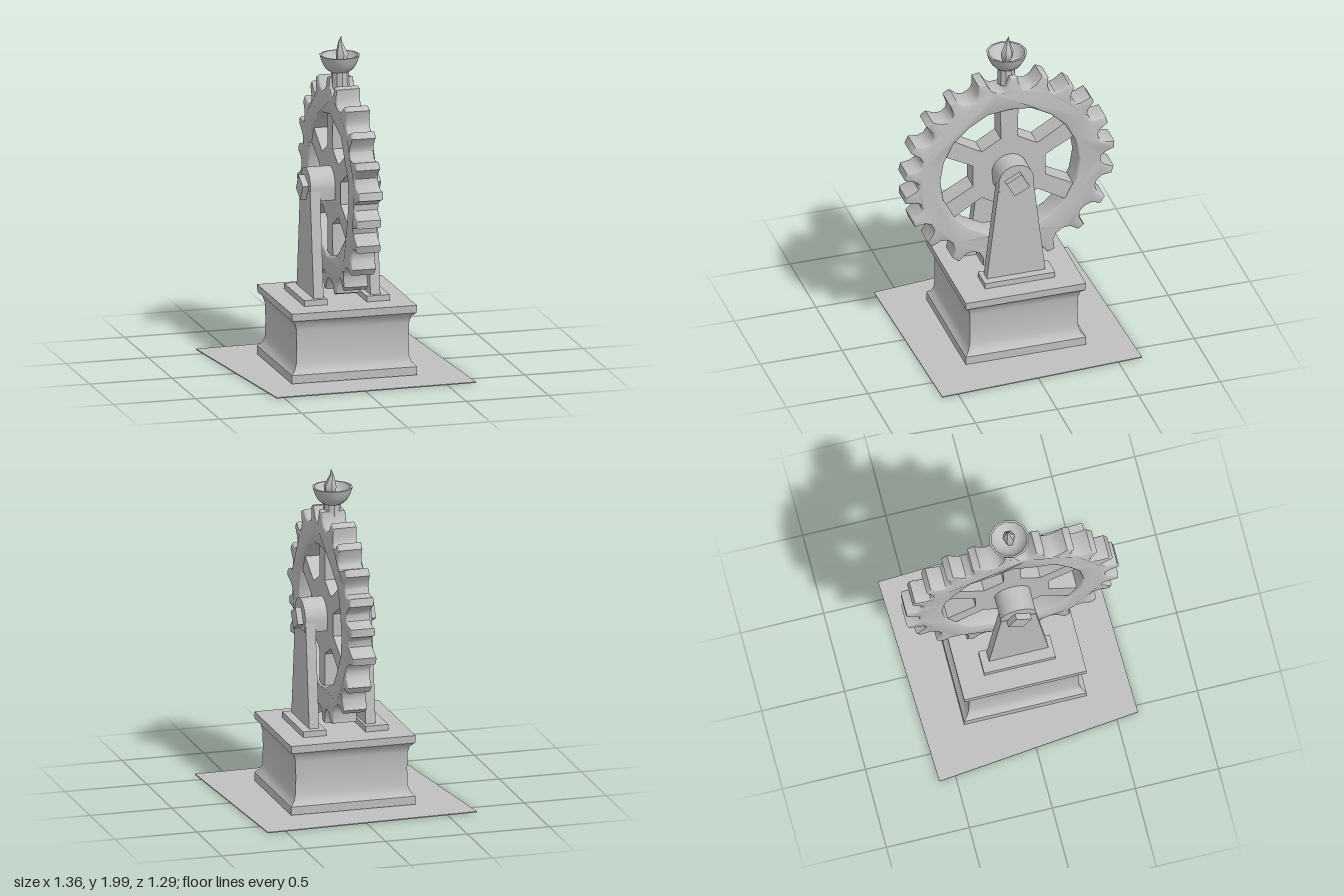
import * as THREE from 'three';
import { toCreasedNormals } from 'three/addons/utils/BufferGeometryUtils.js';

const stone = new THREE.MeshStandardMaterial({ color: 0xc0c0c0, side: THREE.DoubleSide });
stone.name = 'grey stone';
const V = (x, y) => new THREE.Vector2(x, y);
const CX = 0.022, CY = 1.11; // wheel centre

export function createModel() {
  const model = new THREE.Group();
  model.name = 'wheelMonument';

  const add = (name, geometry, x = 0, y = 0, z = 0, crease = 0.6) => {
    const mesh = new THREE.Mesh(toCreasedNormals(geometry, crease), stone);
    mesh.name = name;
    mesh.position.set(x, y, z);
    model.add(mesh);
    return mesh;
  };
  // Extrude a (z, y) outline along x, centred on x = 0
  const slab = (shape, width, bevel = 0) => {
    const g = new THREE.ExtrudeGeometry(shape, {
      depth: width - 2 * bevel, bevelEnabled: bevel > 0, bevelThickness: bevel,
      bevelSize: bevel, bevelOffset: -bevel, bevelSegments: 2, curveSegments: 10,
    });
    g.translate(0, 0, bevel - width / 2);
    return g.rotateY(-Math.PI / 2);
  };
  const polar = (r, deg) => V(r * Math.cos(deg * Math.PI / 180), r * Math.sin(deg * Math.PI / 180));

  // Thin, slightly skewed ground plate
  const ground = new THREE.Shape([V(-0.68, 0.6), V(-0.545, -0.63), V(0.675, -0.6), V(0.61, 0.645)]);
  add('groundPlate', new THREE.ExtrudeGeometry(ground, { depth: 0.006, bevelEnabled: false })
    .rotateX(-Math.PI / 2), 0, 0.01, 0);

  // Square pedestal with a concave waist
  const profile = [
    [0, 0.02], [0.38, 0.02], [0.38, 0.07], [0.355, 0.095], [0.343, 0.13], [0.34, 0.23],
    [0.342, 0.33], [0.352, 0.37], [0.378, 0.395], [0.38, 0.44], [0, 0.44],
  ].map(([r, y]) => V(r * Math.SQRT2, y));
  const pedestal = new THREE.LatheGeometry(profile, 4).rotateY(Math.PI / 4).scale(1, 1, 0.97);
  add('pedestal', pedestal, 0.005, 0, -0.005);

  // Tapered supports on foot plates, with square axle ends
  for (const [side, x, out] of [['right', -0.16, -0.205], ['left', 0.185, 0.232]]) {
    add(side + 'FootPlate', new THREE.BoxGeometry(0.14, 0.035, 0.43), x + (x > 0 ? 0.01 : -0.025), 0.4575, -0.008);
    const leg = new THREE.Shape([V(0.18, 0.475), V(0.105, 1.1), V(-0.105, 1.1), V(-0.178, 0.475)].reverse());
    add(side + 'Support', slab(leg, 0.06), x, 0, 0);
    const end = add(side + 'AxleEnd', new THREE.BoxGeometry(0.04, 0.105, 0.105), out, 1.105, 0);
    end.rotation.x = 0.5;
  }

  // Axle housing with a rounded top and flat underside
  const housing = new THREE.Shape();
  housing.moveTo(-0.1, 1.04);
  housing.lineTo(0.1, 1.04);
  housing.lineTo(0.107, 1.115);
  housing.absarc(0, 1.115, 0.107, 0, Math.PI, false);
  housing.closePath();
  add('axleHousing', slab(housing, 0.405), 0.015, 0, 0);

  // Toothed rim with hand-cut, unevenly spaced teeth
  const teeth = [7, 23, 40, 57, 75, 92, 110, 126, 142, 158, 174, 190, 208, 227, 247, 265, 283, 301, 320, 337, 352];
  const outline = [];
  teeth.forEach((a, i) => {
    const next = i + 1 < teeth.length ? teeth[i + 1] : teeth[0] + 360;
    const gap = next - a;
    outline.push(polar(0.585, a - 4), polar(0.645, a - 2.2), polar(0.64, a + 2), polar(0.585, a + 3.8),
      polar(0.56, a + gap * 0.38), polar(0.56, a + gap * 0.62));
  });
  const rim = new THREE.Shape(outline);
  rim.holes.push(new THREE.Path().absarc(0, 0, 0.425, 0, Math.PI * 2, true));
  const rimGeometry = slab(rim, 0.15, 0.012);
  // Gentle sideways ripple along the teeth
  const p = rimGeometry.attributes.position;
  for (let i = 0; i < p.count; i++) {
    const a = Math.atan2(p.getY(i), p.getZ(i));
    p.setX(i, p.getX(i) + 0.006 * Math.sin(a * 9));
  }
  add('toothedRim', rimGeometry, CX, CY, 0, 0.8);

  // Six spokes flaring from a broad hub: a disc with six windows cut out
  const web = new THREE.Shape().absarc(0, 0, 0.45, 0, Math.PI * 2, false);
  for (let k = 0; k < 6; k++) {
    const a = k * 60;
    const pts = [polar(0.232, a + 17), polar(0.232, a - 17), polar(0.3, a - 20), polar(0.428, a - 22.5)];
    for (let s = -15; s <= 15; s += 7.5) pts.push(polar(0.428, a + s));
    pts.push(polar(0.428, a + 22.5), polar(0.3, a + 20));
    web.holes.push(new THREE.Path(pts.reverse()));
  }
  add('spokesAndHub', slab(web, 0.12), CX, CY, 0);

  // Lamp: neck, hollow bowl and flame
  add('lampNeck', new THREE.CylinderGeometry(0.05, 0.055, 0.13, 10), CX, 1.75, 0);
  const bowl = [[0, 1.79], [0.06, 1.79], [0.085, 1.81], [0.105, 1.845], [0.12, 1.888],
    [0.108, 1.888], [0.085, 1.845], [0.05, 1.82], [0, 1.815]].map(([r, y]) => V(r, y));
  add('lampBowl', new THREE.LatheGeometry(bowl, 12), 0.02, 0, -0.003);

  const flamePoints = [[0, 0], [0.022, 0.01], [0.036, 0.05], [0.038, 0.08], [0.024, 0.115], [0.011, 0.15], [0, 0.185]];
  const flame = new THREE.LatheGeometry(flamePoints.map(([r, y]) => V(r, y)), 6);
  const f = flame.attributes.position;
  for (let i = 0; i < f.count; i++) {
    const t = f.getY(i) / 0.185;
    f.setX(i, f.getX(i) + 0.014 * Math.sin(t * 5) + 0.028 * t * t);
    f.setZ(i, f.getZ(i) - 0.012 * t * t);
  }
  add('flame', flame, 0.018, 1.815, 0, 0.9);

  return model;
}
